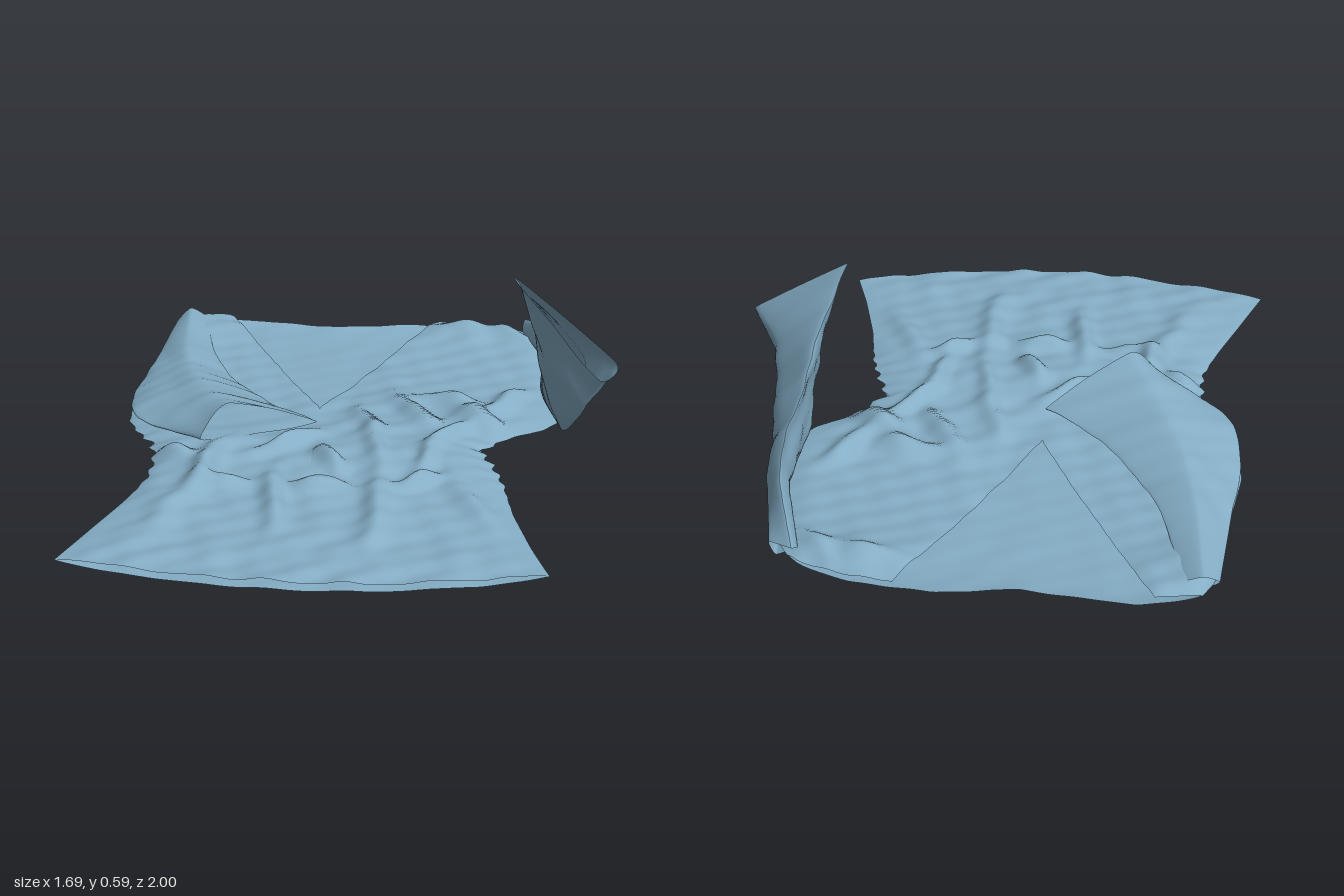
import * as THREE from 'three';

const cloth = new THREE.MeshStandardMaterial({ color: 0x85aec6, side: THREE.DoubleSide });

// Smooth lookup through [key, value] pairs
function table(rows) {
  return (k) => {
    let i = 0;
    while (i < rows.length - 2 && k > rows[i + 1][0]) i++;
    const [a, va] = rows[i], [b, vb] = rows[i + 1];
    return THREE.MathUtils.lerp(va, vb, THREE.MathUtils.clamp((k - a) / (b - a), 0, 1));
  };
}

// Grid of points from a rule fn(u, v) -> Vector3
function sheet(name, nu, nv, fn) {
  const geo = new THREE.PlaneGeometry(1, 1, nu, nv);
  const pos = geo.attributes.position;
  for (let j = 0; j <= nv; j++) for (let i = 0; i <= nu; i++) {
    const p = fn(i / nu, j / nv);
    pos.setXYZ(j * (nu + 1) + i, p.x, p.y, p.z);
  }
  geo.computeVertexNormals();
  const mesh = new THREE.Mesh(geo, cloth);
  mesh.name = name;
  return mesh;
}

// Outline of the body: sides by height t along the garment, neck and hem by x
const leftOutline = table([[0, -0.64], [0.04, -0.69], [0.2, -0.72], [0.34, -0.76], [0.45, -0.75], [0.5, -0.71],
  [0.56, -0.65], [0.62, -0.63], [0.68, -0.635], [0.74, -0.67], [0.86, -0.75], [1, -0.84]]);
const rightOutline = table([[0, 0.6], [0.04, 0.66], [0.2, 0.69], [0.36, 0.69], [0.43, 0.62], [0.49, 0.5],
  [0.55, 0.42], [0.61, 0.46], [0.67, 0.49], [0.78, 0.52], [0.9, 0.57], [1, 0.62]]);
const topLine = table([[-0.7, -0.92], [-0.64, -0.97], [-0.45, -1], [-0.3, -0.98], [-0.1, -0.95], [0.15, -0.985],
  [0.4, -0.95], [0.56, -0.89], [0.68, -0.8]]);
const hemLine = table([[-0.84, 0.87], [-0.6, 0.93], [-0.35, 0.98], [-0.1, 1], [0.15, 0.99], [0.4, 0.95], [0.62, 0.9]]);
const depth = table([[0, 0], [0.02, 0.045], [0.06, 0.07], [0.2, 0.045], [0.4, 0.045], [0.58, 0.05], [0.7, 0.05],
  [0.85, 0.035], [1, 0.022]]);

// Fabric folds: x, z, direction, half length, half width, height
const folds = [
  [0.42, -0.1, 1.1, 0.14, 0.04, 0.06], [0.3, -0.25, 0.5, 0.12, 0.04, 0.045], [0.2, -0.15, 1.2, 0.16, 0.035, 0.045],
  [0.5, -0.25, 2.3, 0.13, 0.04, 0.05], [0.05, -0.05, 1.4, 0.15, 0.035, 0.04], [0.32, 0.02, 2.4, 0.1, 0.03, 0.04],
  [-0.45, 0.3, 1.9, 0.16, 0.04, 0.06], [-0.38, 0.4, 0.2, 0.08, 0.025, 0.04], [-0.22, 0.5, 1.6, 0.18, 0.035, 0.04],
  [-0.08, 0.42, 0.2, 0.09, 0.03, 0.045], [-0.06, 0.25, 1.3, 0.08, 0.03, 0.05], [0.1, 0.55, 1.7, 0.2, 0.04, 0.04],
  [0.22, 0.38, 2.8, 0.08, 0.03, 0.045], [0.25, 0.2, 1.9, 0.12, 0.03, 0.04], [-0.58, 0.2, 0.8, 0.1, 0.035, 0.06],
  [0.35, -0.86, 0.4, 0.14, 0.035, 0.03], [0.54, -0.8, 1, 0.1, 0.03, 0.025], [0.4, 0.5, 1.3, 0.2, 0.04, 0.03],
  [-0.55, 0.6, 2.0, 0.2, 0.05, 0.02], [-0.2, 0.12, 2.6, 0.12, 0.03, 0.045], [0.08, 0.15, 1.5, 0.14, 0.03, 0.03],
];
function foldHeight(x, z) {
  let h = 0;
  for (const [fx, fz, a, len, wid, amp] of folds) {
    const dx = x - fx, dz = z - fz;
    const s = (dx * Math.cos(a) + dz * Math.sin(a)) / len;
    const w = (dz * Math.cos(a) - dx * Math.sin(a)) / wid + 0.5 * Math.sin(s * 2);
    h += amp * Math.exp(-s * s - w * w);
  }
  return h;
}
const ripple = (a, b) => Math.sin(a * 17 + 3 * Math.sin(b * 7)) * Math.sin(b * 13 + 2 * Math.sin(a * 9))
  + 0.5 * Math.sin(a * 41 + b * 23) * Math.sin(b * 37 - a * 11);
const waist = (t) => Math.exp(-(((t - 0.58) / 0.1) ** 2));

// Side edges pucker at the gathered waist
const sideLeft = (t) => leftOutline(t) + 0.012 * waist(t) * Math.sin(t * 150);
const sideRight = (t) => rightOutline(t) + 0.012 * waist(t) * Math.sin(t * 170);
const edgeY = (t) => 0.025 + 0.03 * Math.exp(-t * 14) + 0.015 * waist(t);
const place = (x, y, t) => new THREE.Vector3(x, y, THREE.MathUtils.lerp(topLine(x), hemLine(x), t));

function backPoint(u, t) {
  const x = THREE.MathUtils.lerp(sideLeft(t), sideRight(t), u);
  const p = place(x, 0, t);
  const rim = Math.pow(Math.abs(2 * u - 1), 10);
  const y = 0.012 + 0.02 * Math.exp(-t * 25) + ripple(x, p.z) * (0.002 + 0.006 * waist(t)) + 0.006 * waist(t);
  p.y = THREE.MathUtils.lerp(y, edgeY(t), rim);
  return p;
}

// Front halves meet at the V-neck point and run together down to the hem
const neckDepth = 0.395;
function frontPoint(side, u, t) {
  const k = Math.min(t / neckDepth, 1);
  const mid = THREE.MathUtils.lerp(side < 0 ? -0.5 : 0.27, -0.12, k);
  const x = side < 0 ? THREE.MathUtils.lerp(sideLeft(t), mid, u) : THREE.MathUtils.lerp(mid, sideRight(t), u);
  const fromSide = side < 0 ? u : 1 - u;
  const p = place(x, 0, t);
  const puff = 1 - Math.pow(1 - fromSide, 8);
  const neckEdge = t < neckDepth ? 1 - 0.5 * Math.pow(fromSide, 6) * (1 - k) : 1;
  p.y = edgeY(t) + puff * neckEdge * (depth(t) * 0.6 + foldHeight(x, p.z) * 0.9 + 0.006 * ripple(x, p.z));
  return p;
}

// Sleeve lofted through four rails running from shoulder to cuff
function sleeve(name, rails, crease) {
  const curves = rails.map((r) => new THREE.CatmullRomCurve3(r.map((p) => new THREE.Vector3(...p))));
  const rings = 44;
  const loops = [];
  for (let i = 0; i <= rings; i++) {
    loops.push(new THREE.CatmullRomCurve3(curves.map((c) => c.getPoint(i / rings)), true, 'catmullrom', 0.3));
  }
  return sheet(name, 48, rings, (u, v) => {
    const p = loops[Math.round(v * rings)].getPoint(u % 1);
    const w = ripple(p.x * 0.6 + p.y, p.z) * Math.sin(Math.PI * Math.min(v, 0.8));
    return p.addScaledVector(crease, w);
  });
}

export function createModel() {
  const group = new THREE.Group();
  group.name = 'blouse';
  group.add(sheet('backPanel', 70, 90, backPoint));
  group.add(sheet('frontPanelRight', 56, 120, (u, t) => frontPoint(-1, u, t)));
  group.add(sheet('frontPanelLeft', 56, 120, (u, t) => frontPoint(1, u, t)));

  // Left sleeve stands up: ridge, outer wall, underarm, inner wall
  group.add(sleeve('leftSleeve', [
    [[0.58, 0.1, -0.89], [0.655, 0.2, -0.6], [0.62, 0.33, -0.35], [0.56, 0.49, -0.13], [0.51, 0.6, -0.03]],
    [[0.66, 0.07, -0.82], [0.71, 0.1, -0.55], [0.73, 0.18, -0.25], [0.755, 0.31, -0.06], [0.84, 0.36, 0.09]],
    [[0.64, 0.025, -0.82], [0.675, 0.02, -0.5], [0.68, 0.02, -0.2], [0.7, 0.08, 0], [0.79, 0.32, 0.15]],
    [[0.57, 0.07, -0.84], [0.64, 0.1, -0.52], [0.62, 0.14, -0.22], [0.625, 0.27, -0.03], [0.66, 0.44, 0.06]],
  ], new THREE.Vector3(0.007, 0.002, 0)));

  // Right sleeve lies folded across the front: inner fold, top, outer fold, underside
  group.add(sleeve('rightSleeve', [
    [[-0.58, 0.07, -0.93], [-0.5, 0.07, -0.55], [-0.38, 0.07, -0.3], [-0.25, 0.075, -0.13], [-0.12, 0.08, -0.02]],
    [[-0.64, 0.1, -0.94], [-0.61, 0.11, -0.55], [-0.56, 0.135, -0.28], [-0.48, 0.165, -0.07], [-0.39, 0.21, 0.14]],
    [[-0.69, 0.055, -0.9], [-0.725, 0.05, -0.55], [-0.755, 0.06, -0.25], [-0.71, 0.08, -0.02], [-0.48, 0.1, 0.18]],
    [[-0.63, 0.04, -0.92], [-0.6, 0.05, -0.55], [-0.56, 0.055, -0.28], [-0.47, 0.06, -0.06], [-0.32, 0.075, 0.08]],
  ], new THREE.Vector3(0, 0.007, 0)));
  return group;
}
